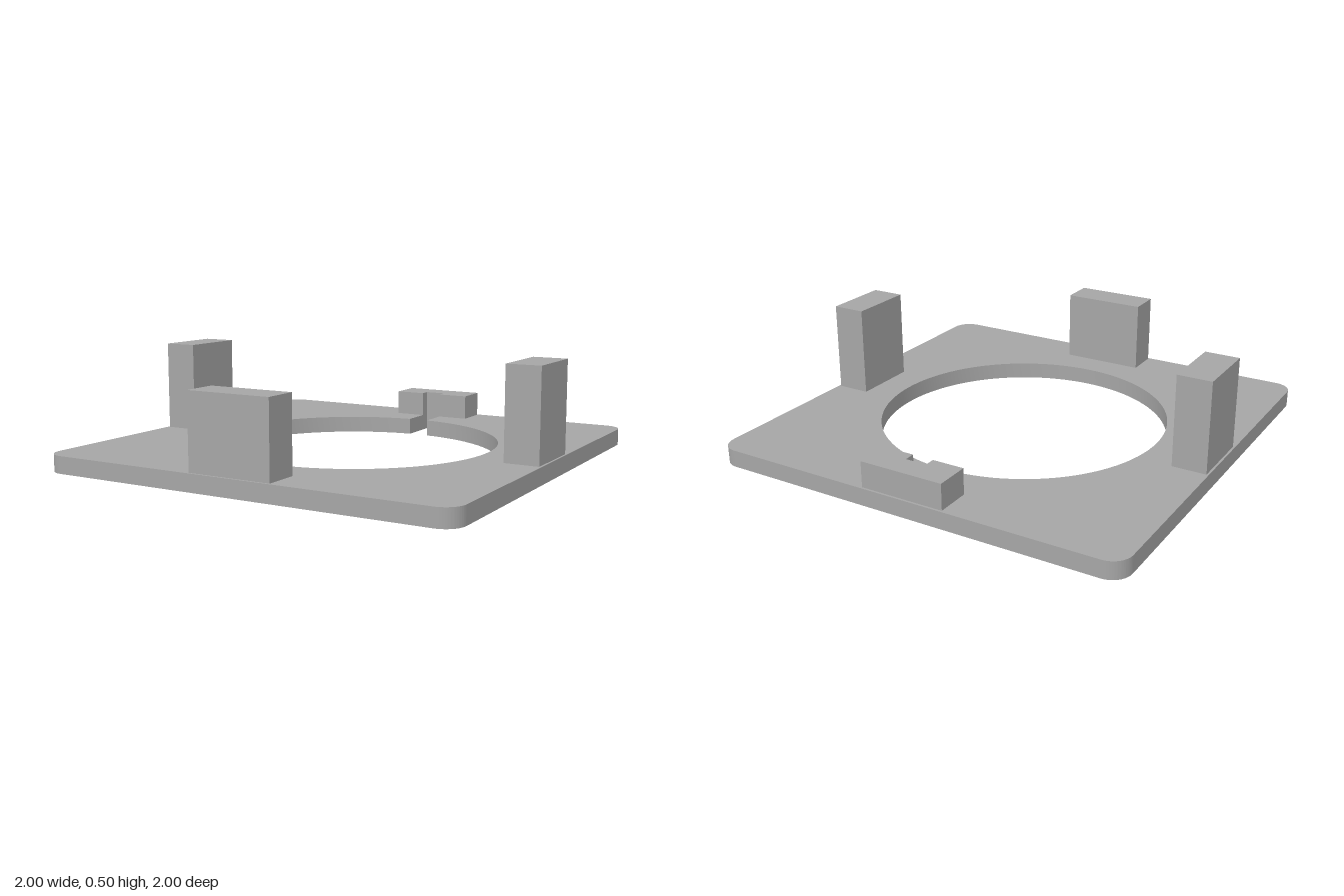
import * as THREE from 'three';
import { toCreasedNormals } from 'three/addons/utils/BufferGeometryUtils.js';

const HALF = 1, CORNER = 0.09, THICK = 0.08;
const HOLE = 0.68, SLOT = 0.05, SLOT_END = 0.88;
const INNER = 0.83, OUTER = 0.99;

// Extrude a plan shape (shape +y points to the back) upwards from a height
function extrudeUp(shape, height, base) {
  const geo = new THREE.ExtrudeGeometry(shape, { depth: height, bevelEnabled: false, curveSegments: 48 });
  geo.rotateX(-Math.PI / 2);
  geo.translate(0, base, 0);
  return toCreasedNormals(geo, 0.6);
}

// Rounded square with a keyhole opening
function plateShape() {
  const s = new THREE.Shape();
  const c = HALF - CORNER;
  s.absarc(c, c, CORNER, 0, Math.PI / 2);
  s.absarc(-c, c, CORNER, Math.PI / 2, Math.PI);
  s.absarc(-c, -c, CORNER, Math.PI, Math.PI * 1.5);
  s.absarc(c, -c, CORNER, Math.PI * 1.5, Math.PI * 2);
  s.closePath();

  const a = Math.acos(SLOT / HOLE);
  const hole = new THREE.Path();
  hole.absarc(0, 0, HOLE, Math.PI - a, Math.PI * 2 + a);
  hole.lineTo(SLOT, SLOT_END);
  hole.lineTo(-SLOT, SLOT_END);
  hole.closePath();
  s.holes.push(hole);
  return s;
}

export function createModel() {
  const group = new THREE.Group();
  const grey = new THREE.MeshStandardMaterial({ color: 0xa6a6a6 });
  grey.name = 'grey';

  const add = (name, geo) => {
    const mesh = new THREE.Mesh(geo, grey);
    mesh.name = name;
    group.add(mesh);
    return mesh;
  };

  add('basePlate', extrudeUp(plateShape(), THICK, 0));

  // Upright blocks on the plate
  const block = (name, w, top, d, x, z) =>
    add(name, new THREE.BoxGeometry(w, top - THICK, d)).position.set(x, (top + THICK) / 2, z);
  const depth = OUTER - INNER, mid = (OUTER + INNER) / 2;
  block('leftPost', depth, 0.505, 0.32, mid, 0);
  block('rightPost', depth, 0.505, 0.32, -mid, 0);
  block('frontStop', 0.4, 0.42, depth, 0, mid);

  // Low back block, notched by the slot
  const notched = new THREE.Shape([
    [-0.2, INNER], [-SLOT, INNER], [-SLOT, SLOT_END], [SLOT, SLOT_END],
    [SLOT, INNER], [0.2, INNER], [0.2, OUTER], [-0.2, OUTER],
  ].map(([x, y]) => new THREE.Vector2(x, y)));
  add('backNotchedStop', extrudeUp(notched, 0.2 - THICK, THICK));

  return group;
}
